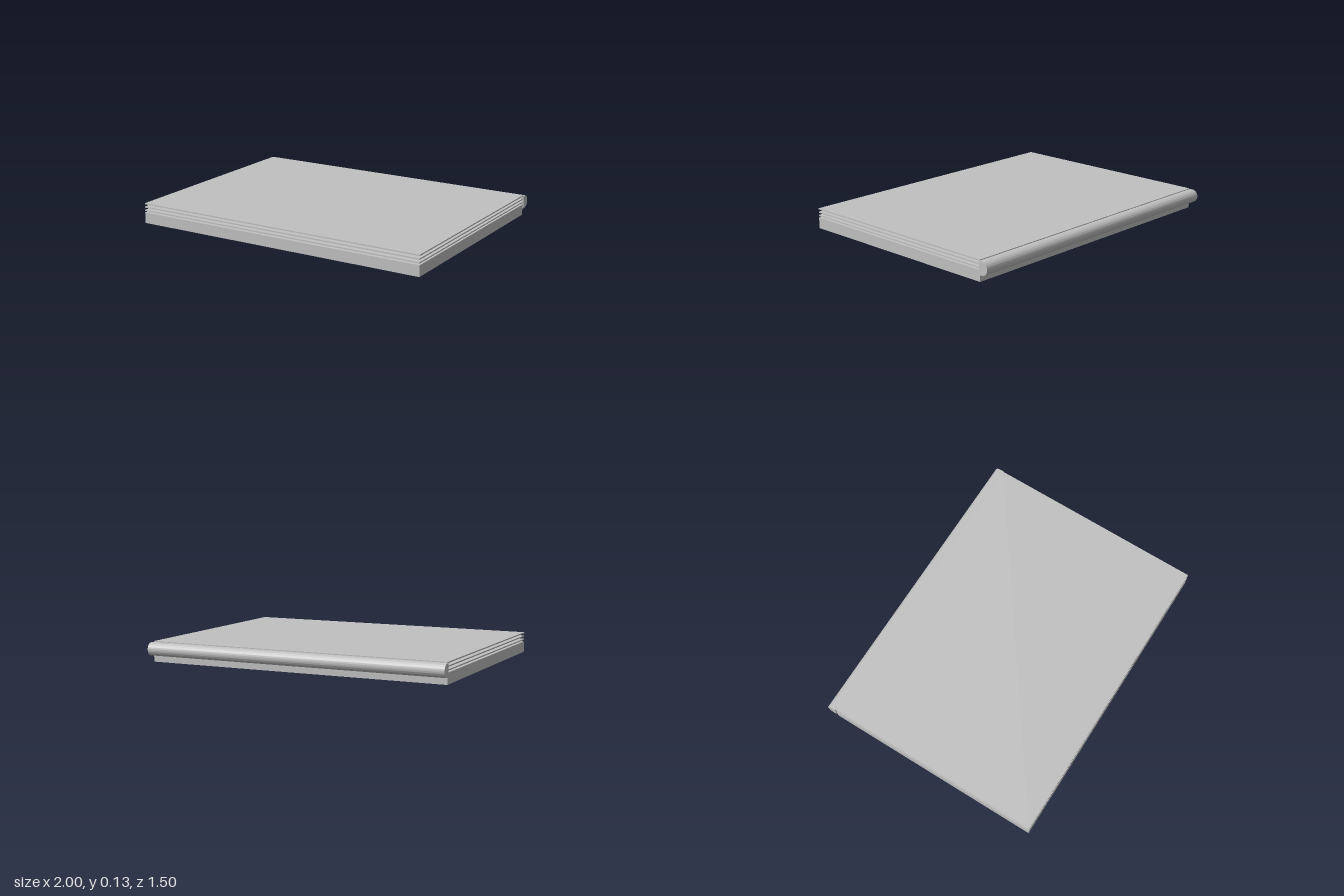
import * as THREE from 'three';
import { toCreasedNormals } from 'three/addons/utils/BufferGeometryUtils.js';

export function createModel() {
  const model = new THREE.Group();
  const grey = new THREE.MeshStandardMaterial({ color: 0xc0c0c0 });
  grey.name = 'light grey';

  const add = (name, geometry) => {
    const mesh = new THREE.Mesh(geometry, grey);
    mesh.name = name;
    model.add(mesh);
  };

  // Flat slab between two heights, sharing one footprint
  const front = 0.75, back = -0.688, width = 1.988;
  const slab = (name, bottom, top) => {
    const g = new THREE.BoxGeometry(width, top - bottom, front - back);
    g.translate(0, (bottom + top) / 2, (front + back) / 2);
    add(name, g);
  };

  // Thick base block and three thin sheets above it
  slab('base', 0, 0.07);
  [0.08, 0.102, 0.124].forEach((y, i) => slab('sheet' + (i + 1), y, y + 0.008));

  // Rounded spine along the back, slightly wider than the slabs
  const r = 0.042, midY = 0.085, arcZ = -0.75 + r;
  const profile = new THREE.Shape();
  profile.moveTo(back, midY - r);
  profile.lineTo(back, midY + r);
  profile.lineTo(arcZ, midY + r);
  profile.absarc(arcZ, midY, r, Math.PI / 2, Math.PI * 1.5, false);
  profile.closePath();
  const spine = new THREE.ExtrudeGeometry(profile, { depth: 2, bevelEnabled: false, curveSegments: 20 });
  spine.translate(0, 0, -1);
  spine.rotateY(-Math.PI / 2);
  add('spine', toCreasedNormals(spine, 0.6));

  return model;
}
